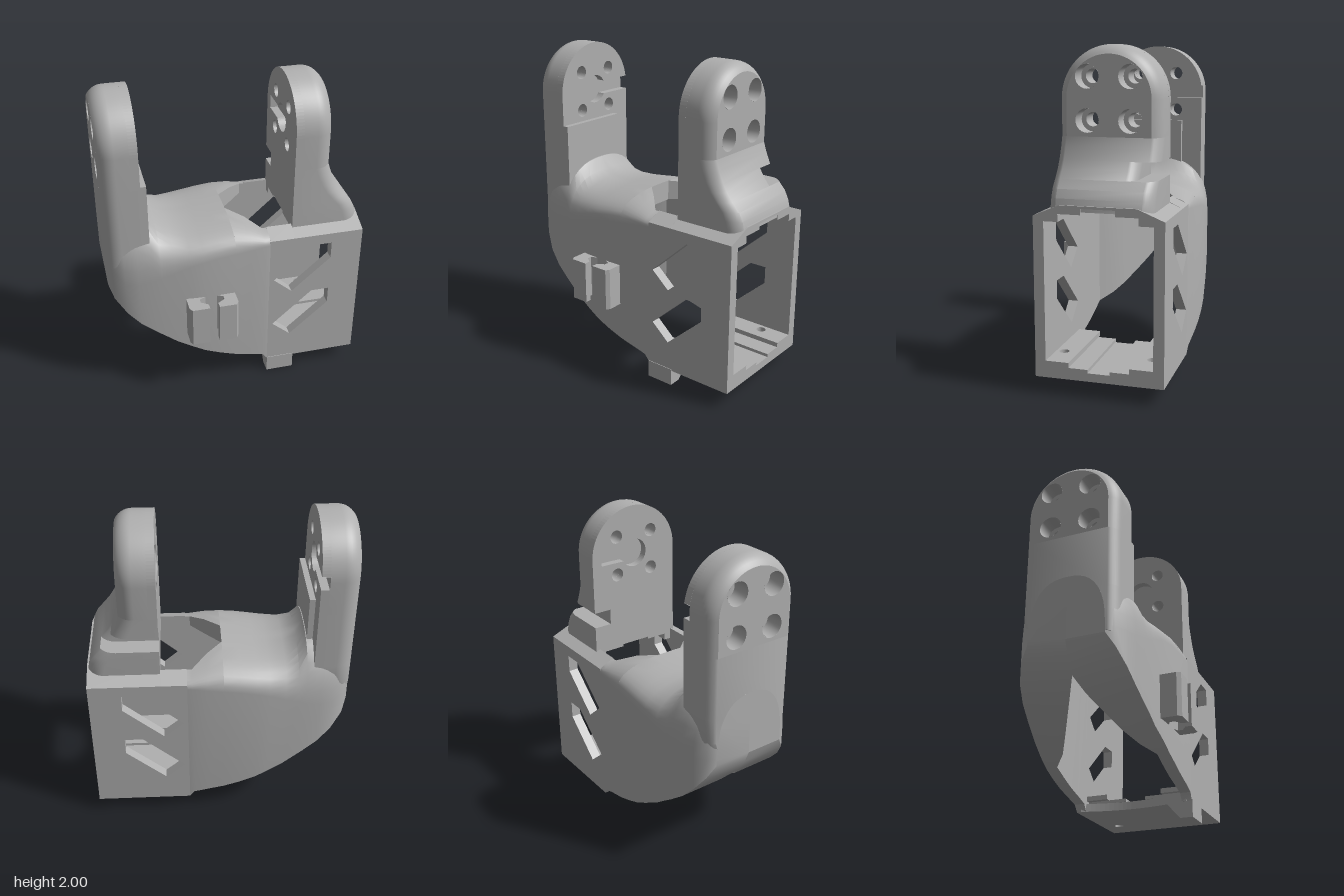
import * as THREE from 'three';
import { toCreasedNormals } from 'three/addons/utils/BufferGeometryUtils.js';

const C = -0.057; // z of the symmetry plane
const R = 0.305, TOP = 1.695, SPLIT = 1.48; // arm half width, arch centre, start of arch
const mat = new THREE.MeshStandardMaterial({ color: 0xb0b0b0, side: THREE.DoubleSide });
mat.name = 'grey plastic';

function add(parent, name, geo) {
  const m = new THREE.Mesh(geo, mat);
  m.name = name;
  parent.add(m);
  return m;
}

// Skin through equal-length sections of [x, y, z]; optional end caps use axes a, b
function loft(sections, closed, a, b) {
  const n = sections[0].length, idx = [];
  const last = closed ? n : n - 1;
  for (let i = 0; i < sections.length - 1; i++)
    for (let j = 0; j < last; j++) {
      const p = i * n + j, q = i * n + (j + 1) % n;
      idx.push(p, q, p + n, q, q + n, p + n);
    }
  if (closed) [0, sections.length - 1].forEach((s) => {
    const flat = sections[s].map((p) => new THREE.Vector2(p[a], p[b]));
    THREE.ShapeUtils.triangulateShape(flat, []).forEach((f) => {
      const t = f.map((k) => k + s * n);
      idx.push(...(s ? t.reverse() : t));
    });
  });
  const g = new THREE.BufferGeometry();
  g.setAttribute('position', new THREE.Float32BufferAttribute(sections.flat(2), 3));
  g.setIndex(idx);
  return toCreasedNormals(g, 0.6);
}

const poly = (pts) => new THREE.Shape(pts.map((p) => new THREE.Vector2(...p)));
const extrude = (shape, depth) =>
  new THREE.ExtrudeGeometry(shape, { depth, bevelEnabled: false, curveSegments: 24 });
// Outline in (z, y), running along x from x0 to x1
const alongX = (shape, x0, x1) => extrude(shape, x1 - x0).rotateY(-Math.PI / 2).translate(x1, 0, C);
// Outline in (x, z), running along y from y0 to y1
const alongY = (shape, y0, y1) => extrude(shape, y1 - y0).rotateX(Math.PI / 2).translate(0, y1, 0);
const box = (x0, x1, y0, y1, z0, z1) =>
  new THREE.BoxGeometry(x1 - x0, y1 - y0, z1 - z0).translate((x0 + x1) / 2, (y0 + y1) / 2, (z0 + z1) / 2);

// Curved hollow half of the body: x, bottom, half width, inner half width, shoulder, crown, roof hole
const BODY = [
  [-0.8, 0.8, 0.24, 0, 0.84, 1.2, 0], [-0.77, 0.72, 0.29, 0, 0.84, 1.22, 0],
  [-0.7, 0.62, 0.33, 0, 0.84, 1.24, 0], [-0.62, 0.535, 0.35, 0.05, 0.84, 1.25, 0],
  [-0.53, 0.465, 0.363, 0.105, 0.86, 1.24, 0], [-0.48, 0.43, 0.37, 0.135, 0.88, 1.17, 0],
  [-0.4, 0.37, 0.378, 0.184, 0.91, 1.135, 0], [-0.3, 0.315, 0.39, 0.245, 0.95, 1.125, 0],
  [-0.22, 0.27, 0.394, 0.32, 0.97, 1.13, 0], [-0.12, 0.23, 0.396, 0.32, 0.99, 1.14, 0],
  [-0.02, 0.195, 0.394, 0.32, 1, 1.15, 0], [-0.02, 0.195, 0.394, 0.32, 1, 1.15, 0.085],
  [0.08, 0.17, 0.391, 0.32, 1.01, 1.14, 0.185], [0.17, 0.145, 0.387, 0.32, 1.02, 1.11, 0.28],
  [0.2, 0.1, 0.383, 0.32, 1.02, 1.11, 0.28],
];
function bodyHalf(side) {
  return loft(BODY.map(([x, yb, w, wi, ys, yc, h]) => {
    const pts = [[w, yb]];
    for (let k = 0; k <= 10; k++) {
      const z = h + (w - h) * Math.cos(k / 10 * Math.PI / 2);
      pts.push([z, ys + (yc - ys) * Math.pow(Math.max(0, 1 - Math.pow(z / w, 2.5)), 0.4)]);
    }
    pts.push([h, 1.02], [wi, 1.02], [wi, yb]);
    return pts.map(([z, y]) => [x, y, C + side * z]);
  }), true, 2, 1);
}

// Rounded outer edge of an arm: [x, inset] from the side to the outer face
function edge(xo) {
  return Array.from({ length: 8 }, (_, k) => {
    const t = k / 7 * Math.PI / 3;
    return [xo - 0.0953 + 0.11 * Math.sin(t), 0.11 * (1 - Math.cos(t))];
  });
}
const HOLES = [[0.127, 1.82], [-0.127, 1.82], [0.127, 1.572], [-0.127, 1.572]];
function drill(shape, r) {
  HOLES.forEach(([z, y]) => shape.holes.push(new THREE.Path().absarc(z, y, r, 0, Math.PI * 2)));
  return shape;
}
function arch(r) {
  const s = new THREE.Shape();
  s.moveTo(-r, SPLIT).lineTo(r, SPLIT);
  s.absarc(0, TOP, r, 0, Math.PI);
  return s;
}
function horn(path, tip) { // round pocket with a slot toward the back
  path.lineTo(-tip, TOP + 0.043);
  path.absarc(0, TOP, 0.09, Math.PI - 0.5, -Math.PI + 0.5, true);
  path.lineTo(-tip, TOP - 0.043);
}

// Arm with its inner face at x = 0; levels are [y, outer x, back half width]
function arm(name, openSlot, levels) {
  const g = new THREE.Group();
  g.name = name;
  const prof = [[0.05, 0], ...edge(0.23)];
  const stations = [[0, SPLIT]];
  for (let k = 0; k <= 32; k++) stations.push([k / 32 * Math.PI, TOP]);
  stations.push([Math.PI, SPLIT]);
  add(g, 'archedRim', loft(stations.map(([t, y]) =>
    prof.map(([x, d]) => [x, y + (R - d) * Math.sin(t), C + (R - d) * Math.cos(t)])), false));
  const face = (r, hole, x) =>
    new THREE.ShapeGeometry(drill(arch(r), hole), 24).rotateY(-Math.PI / 2).translate(x, 0, C);
  add(g, 'outerFace', face(R - 0.055, 0.07, 0.23));
  add(g, 'pocketFloor', face(R, 0.042, 0.05));

  // inner layer with the horn pocket
  let inner = arch(R);
  if (openSlot) {
    inner = new THREE.Shape();
    inner.moveTo(-R, SPLIT).lineTo(R, SPLIT);
    inner.absarc(0, TOP, R, 0, Math.PI - 0.14);
    horn(inner, R);
  } else {
    const p = new THREE.Path();
    p.moveTo(-0.24, TOP - 0.043);
    horn(p, 0.24);
    inner.holes.push(p);
  }
  add(g, 'innerFace', alongX(drill(inner, 0.042), 0, 0.05));

  // counterbored screw holes
  const bore = [[0.07, 0.23], [0.07, 0.12], [0.042, 0.12], [0.042, 0.05]].map((p) => new THREE.Vector2(...p));
  HOLES.forEach(([z, y]) => add(g, 'screwHole',
    toCreasedNormals(new THREE.LatheGeometry(bore, 24).rotateZ(-Math.PI / 2).translate(0, y, C + z), 0.6)));

  // stem below the arch
  add(g, 'stem', loft(levels.map(([y, xo, back]) => {
    const e = edge(xo);
    return [[0, y, C + R], ...e.map(([x, d]) => [x, y, C + R - d]),
      ...e.reverse().map(([x, d]) => [x, y, C - back + d]), [0, y, C - back]];
  }), true, 0, 2));
  return g;
}

export function createModel() {
  const model = new THREE.Group();
  model.name = 'servoBracket';

  const body = new THREE.Group();
  body.name = 'body';
  model.add(body);
  [1, -1].forEach((s) => add(body, s > 0 ? 'frontShell' : 'backShell', bodyHalf(s)));

  // flat side walls with slanted windows, and roof strips beside the opening
  [1, -1].forEach((s) => {
    const wall = poly([[0.2, 0.1], [0.8, 0.1], [0.8, 1.05], [0.2, 1.05]]);
    [0, -0.355].forEach((d) => wall.holes.push(poly(
      [[0.23, 0.75], [0.35, 0.645], [0.6, 0.868], [0.6, 0.98], [0.485, 0.98]].map(([x, y]) => [x, y + d]))));
    add(body, s > 0 ? 'frontWall' : 'backWall',
      extrude(wall, 0.063).translate(0, 0, s > 0 ? C + 0.32 : C - 0.383));
    add(body, 'roofStrip', alongX(poly(
      [[0.28, 1.02], [0.383, 1.02], [0.383, 1.05], [0.28, 1.095]].map(([z, y]) => [s * z, y])), 0.2, 0.36));
  });

  // roof with stepped ceiling
  const half = [[0.383, 1.02], [0.383, 1.05], [0.225, 1.115]];
  const steps = [[0.1, 1.1], [0.1, 1.065], [0.235, 1.065], [0.235, 1.02]];
  const right = [...steps, ...half];
  add(body, 'roof', alongX(poly([...right, ...right.map(([z, y]) => [-z, y]).reverse()]), 0.36, 0.8));

  // floor with arched edge, two screw holes and stepped grooves
  const floor = new THREE.Shape();
  floor.moveTo(0.8, C - 0.35).lineTo(0.8, C + 0.35).lineTo(0.19, C + 0.35);
  floor.quadraticCurveTo(0.31, C, 0.19, C - 0.35);
  [1, -1].forEach((s) => floor.holes.push(new THREE.Path().absarc(0.62, C + s * 0.27, 0.03, 0, Math.PI * 2)));
  add(body, 'floor', alongY(floor, 0.1, 0.15));
  [1, -1].forEach((s) => {
    [[0.24, 0.15, 0.17, 0.065], [0.21, 0.17, 0.2, 0.18]].forEach(([x, y0, y1, z]) => {
      const zs = [C + s * z, C + s * 0.33].sort((a, b) => a - b);
      const step = poly([[x, zs[0]], [0.8, zs[0]], [0.8, zs[1]], [x, zs[1]]]);
      step.holes.push(new THREE.Path().absarc(0.62, C + s * 0.27, 0.03, 0, Math.PI * 2));
      add(body, 'floorStep', alongY(step, y0, y1));
    });
  });

  // tab under the front wall
  add(body, 'bottomTab', alongX(poly([[0.387, 0], [0.387, 0.11], [0.217, 0.11], [0.217, 0.1], [0.307, 0]]), 0.2, 0.38));

  // pair of cable hooks on the front
  [1, -1].forEach((s) => add(model, 'cableHook', alongY(poly(
    [[0.155, 0.3], [0.155, 0.43], [0.14, 0.455], [0.03, 0.455], [0.03, 0.415], [0.075, 0.385], [0.075, 0.355], [0.03, 0.335], [0.03, 0.3]]
      .map(([x, z]) => [-0.183 + s * x, z])), 0.44, 0.71)));

  // flared arm with a cable notch in its back edge
  const N = 0.19;
  const flared = arm('flaredArm', false, [
    [SPLIT, 0.23, R], [1.42, 0.25, R], [1.35, 0.28, R], [1.35, 0.28, N], [1.3, 0.31, N], [1.25, 0.35, N],
    [1.25, 0.35, R], [1.2, 0.395, R], [1.15, 0.42, R], [1.1, 0.433, R], [1.08, 0.435, R]]);
  flared.position.x = 0.36;
  model.add(flared);

  // straight arm, mirrored, with a thicker pad on its inner side
  const straight = arm('straightArm', true, [[SPLIT, 0.23, R], [1.1, 0.23, R], [0.95, 0.23, R], [0.81, 0.23, R * 0.85]]);
  straight.scale.x = -1;
  straight.position.x = -0.57;
  model.add(straight);
  add(model, 'armPad', box(-0.58, -0.535, 0.95, 1.5, -0.23, C + R));

  return model;
}
